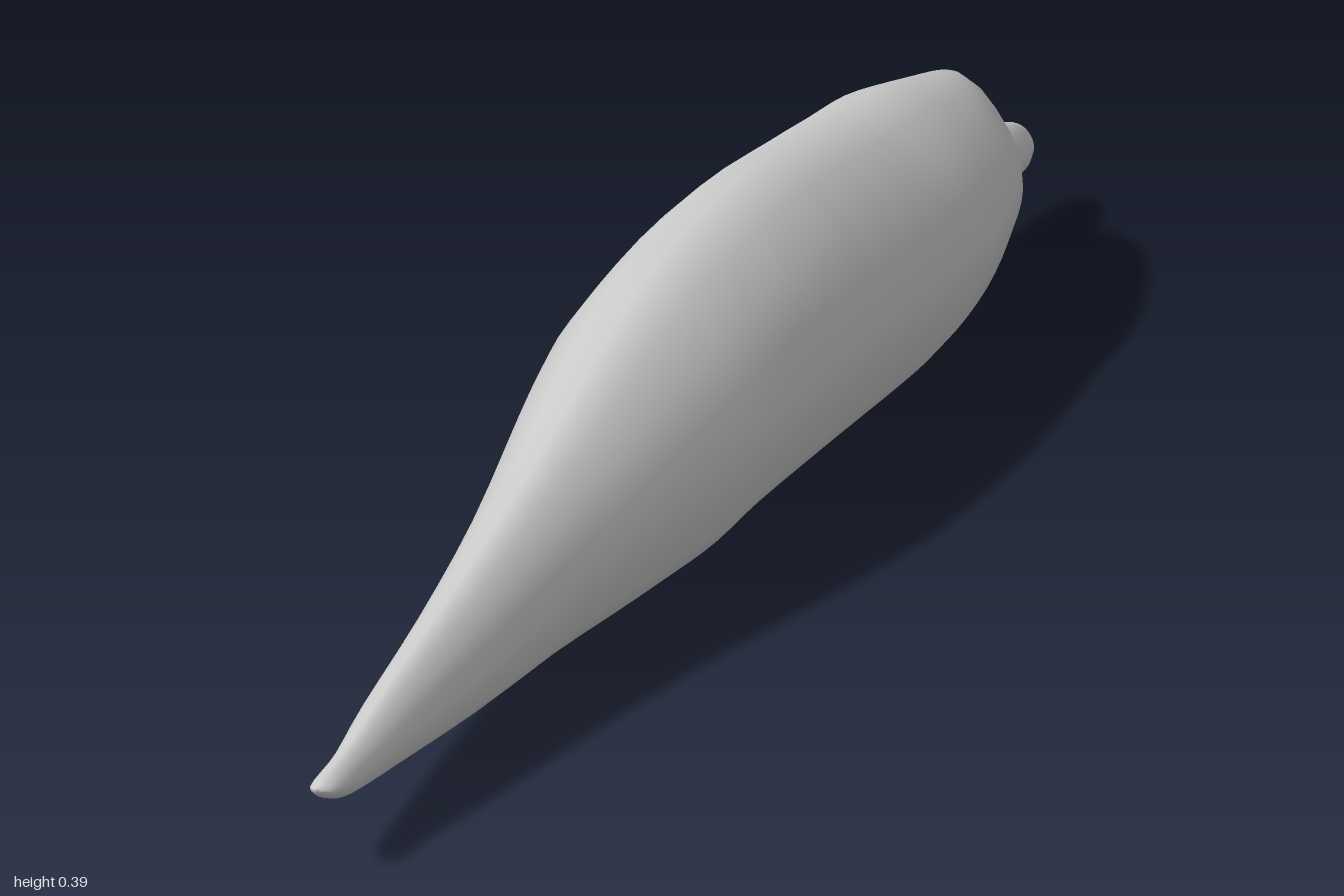
import * as THREE from 'three';

// Body stations from tail tip to beak tip: [z, top, bottom, half width]
const STATIONS = [
  [1, 0.112, 0.106, 0.004], [0.985, 0.117, 0.094, 0.016], [0.95, 0.123, 0.08, 0.021],
  [0.9, 0.132, 0.07, 0.025], [0.8, 0.16, 0.06, 0.038], [0.6, 0.205, 0.041, 0.06],
  [0.4, 0.262, 0.031, 0.085], [0.2, 0.332, 0.016, 0.122], [0.1, 0.362, 0.013, 0.139],
  [0, 0.38, 0.021, 0.15], [-0.2, 0.387, 0.016, 0.158], [-0.4, 0.361, 0.005, 0.155],
  [-0.5, 0.346, 0.004, 0.151], [-0.6, 0.33, 0.024, 0.145], [-0.7, 0.302, 0.047, 0.124],
  [-0.77, 0.278, 0.069, 0.098], [-0.82, 0.25, 0.077, 0.066], [-0.85, 0.212, 0.076, 0.051],
  [-0.875, 0.166, 0.074, 0.044], [-0.91, 0.15, 0.072, 0.035], [-0.95, 0.136, 0.07, 0.028],
  [-0.985, 0.117, 0.076, 0.016], [-1, 0.1, 0.094, 0.003],
];

// Half cross-section from ridged back to rounded belly: [across, up or down]
const SECTION = [
  [0, 1], [0.35, 0.87], [0.63, 0.66], [0.85, 0.43], [0.98, 0.15],
  [1, -0.05], [0.89, -0.43], [0.72, -0.65], [0.35, -0.95], [0, -1],
];
const RING = [...SECTION, ...SECTION.slice(1, -1).reverse().map(([x, y]) => [-x, y])];

function loftBody() {
  const spline = (f) => new THREE.CatmullRomCurve3(
    STATIONS.map(f), false, 'catmullrom', 0.5);
  const profile = spline(([z, top, bottom]) => new THREE.Vector3(z, top, bottom));
  const girth = spline(([, , , w]) => new THREE.Vector3(w, 0, 0));
  const steps = (STATIONS.length - 1) * 3;
  const n = RING.length;
  const positions = [];
  const index = [];

  for (let i = 0; i <= steps; i++) {
    const { x: z, y: top, z: bottom } = profile.getPoint(i / steps);
    const width = girth.getPoint(i / steps).x;
    const middle = bottom + (top - bottom) * 0.42;
    for (const [x, y] of RING) {
      positions.push(x * width, middle + y * (y > 0 ? top - middle : middle - bottom), z);
    }
  }
  for (let i = 0; i < steps; i++) {
    for (let j = 0; j < n; j++) {
      const a = i * n + j;
      const b = i * n + (j + 1) % n;
      index.push(a, b, a + n, b, b + n, a + n);
    }
  }
  // Close both tips
  for (let j = 1; j < n - 1; j++) {
    index.push(0, j + 1, j);
    index.push(steps * n, steps * n + j, steps * n + j + 1);
  }

  const geometry = new THREE.BufferGeometry();
  geometry.setAttribute('position', new THREE.Float32BufferAttribute(positions, 3));
  geometry.setIndex(index);
  geometry.computeVertexNormals();
  return geometry;
}

export function createModel() {
  const group = new THREE.Group();
  group.name = 'finlessDolphin';
  const body = new THREE.Mesh(loftBody(), new THREE.MeshStandardMaterial({ color: 0xcccccc }));
  body.name = 'body';
  group.add(body);
  return group;
}
